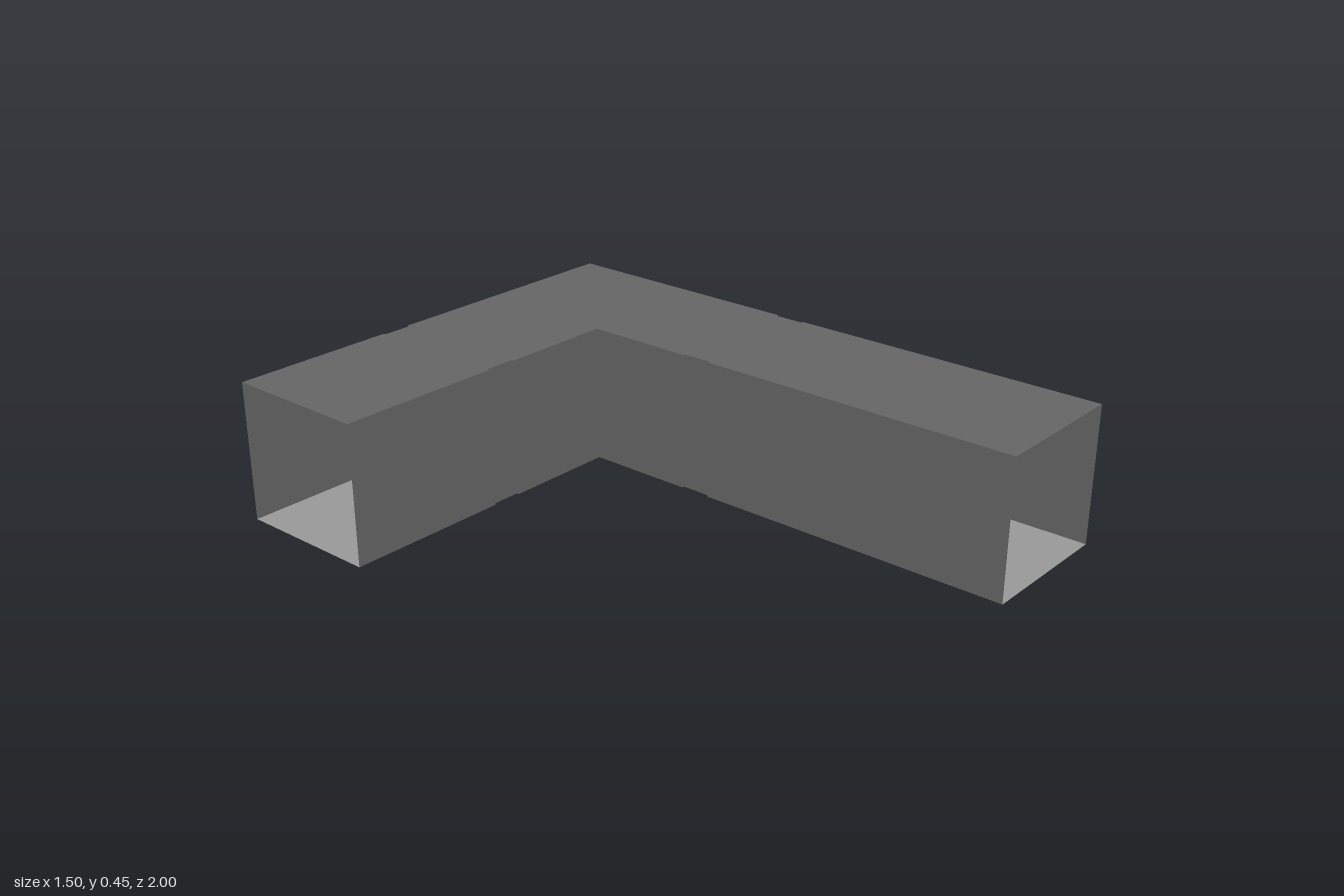
import * as THREE from 'three';

const HEIGHT = 0.45;
const D = 0.008; // depth of the shallow recess in each wall

// Wall runs in plan as [x, z], each with one narrow recess per arm
const outerRun = [
  [0.75, 1], [0.75, -0.06], [0.75 - D, -0.06], [0.75 - D, -0.16], [0.75, -0.16], [0.75, -1],
  [-0.105, -1], [-0.105, -1 + D], [-0.205, -1 + D], [-0.205, -1], [-0.75, -1],
];
const innerRun = [
  [-0.75, -0.52], [-0.205, -0.52], [-0.205, -0.52 - D], [-0.105, -0.52 - D], [-0.105, -0.52], [0.27, -0.52],
  [0.27, -0.16], [0.27 + D, -0.16], [0.27 + D, -0.06], [0.27, -0.06], [0.27, 1],
];

// Upright sheet following a run, one flat quad per segment
function wallGeometry(run) {
  const positions = [];
  for (let i = 0; i < run.length - 1; i++) {
    const [x0, z0] = run[i];
    const [x1, z1] = run[i + 1];
    positions.push(x0, 0, z0, x1, 0, z1, x1, HEIGHT, z1);
    positions.push(x0, 0, z0, x1, HEIGHT, z1, x0, HEIGHT, z0);
  }
  const geometry = new THREE.BufferGeometry();
  geometry.setAttribute('position', new THREE.Float32BufferAttribute(positions, 3));
  geometry.computeVertexNormals();
  return geometry;
}

// Horizontal sheet filling the L-shaped plan
function slabGeometry(y) {
  const outline = [...outerRun, ...innerRun].map(([x, z]) => new THREE.Vector2(x, -z));
  return new THREE.ShapeGeometry(new THREE.Shape(outline)).rotateX(-Math.PI / 2).translate(0, y, 0);
}

export function createModel() {
  const group = new THREE.Group();
  group.name = 'cornerCorridor';
  const shell = new THREE.MeshStandardMaterial({ color: 0x666666, side: THREE.DoubleSide });
  const ground = new THREE.MeshStandardMaterial({ color: 0x999999, side: THREE.DoubleSide });

  const add = (name, geometry, material) => {
    const mesh = new THREE.Mesh(geometry, material);
    mesh.name = name;
    group.add(mesh);
  };

  // Both arm ends stay open
  add('outerWall', wallGeometry(outerRun), shell);
  add('innerWall', wallGeometry(innerRun), shell);
  add('ceiling', slabGeometry(HEIGHT), shell);
  add('floor', slabGeometry(0), ground);
  return group;
}
